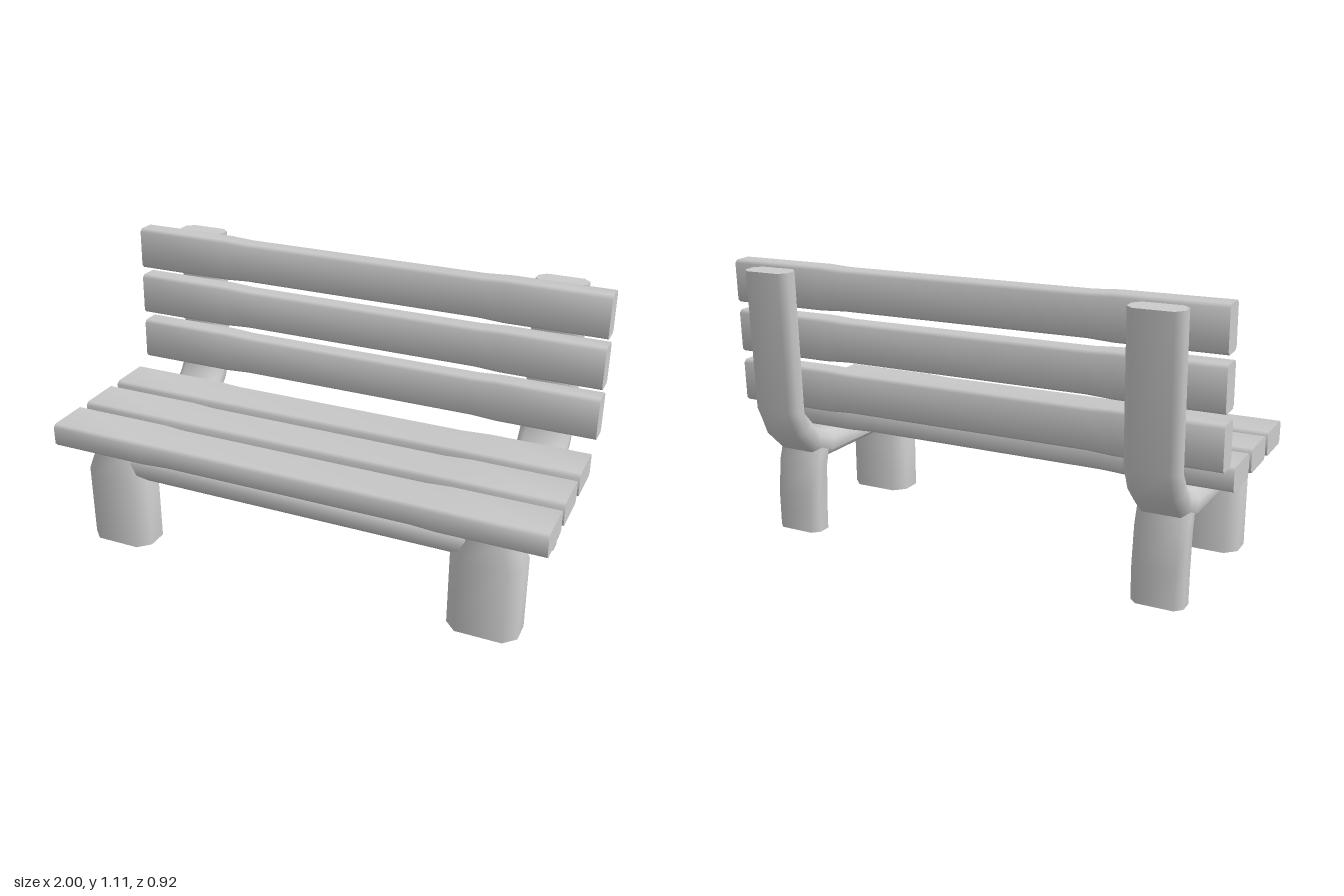
import * as THREE from 'three';
import { toCreasedNormals } from 'three/addons/utils/BufferGeometryUtils.js';

const material = new THREE.MeshStandardMaterial({ color: 0xcccccc });
const vec = (x, y, z) => new THREE.Vector3(x, y, z);

// Bevelled rectangle around centre c with half-axes u and v
function section(c, u, v, bevel) {
  const a = 1 - bevel / u.length(), b = 1 - bevel / v.length();
  return [[1, -b], [1, b], [a, 1], [-a, 1], [-1, b], [-1, -b], [-a, -1], [a, -1]]
    .map(([p, q]) => c.clone().addScaledVector(u, p).addScaledVector(v, q));
}

// Skin a row of sections and cap both ends
function loft(name, rings) {
  const n = rings[0].length, index = [];
  for (let k = 0; k < rings.length - 1; k++) {
    for (let i = 0; i < n; i++) {
      const a = k * n + i, b = k * n + (i + 1) % n;
      index.push(a, b, b + n, a, b + n, a + n);
    }
  }
  const last = (rings.length - 1) * n;
  for (let i = 1; i < n - 1; i++) {
    index.push(0, i + 1, i, last, last + i, last + i + 1);
  }
  const geometry = new THREE.BufferGeometry().setFromPoints(rings.flat());
  geometry.setIndex(index);
  const mesh = new THREE.Mesh(toCreasedNormals(geometry, 0.9), material);
  mesh.name = name;
  return mesh;
}

// Limb in the side plane: each row is [yA, zA, yB, zB, halfWidth], A and B on opposite faces
function limb(name, x, bevel, rows) {
  return loft(name, rows.map(([ya, za, yb, zb, w]) => section(
    vec(x, (ya + yb) / 2, (za + zb) / 2), vec(w, 0, 0),
    vec(0, (yb - ya) / 2, (zb - za) / 2), bevel)));
}

// Plank along x, slightly slimmer in the middle
function slat(name, y, z, height, depth, tilt) {
  const stations = [[-1, 1], [-0.6, 1], [-0.5, 0.94], [0.5, 0.94], [0.6, 1], [1, 1]];
  const mesh = loft(name, stations.map(([x, s]) => section(
    vec(x, 0, 0), vec(0, height / 2 * s, 0), vec(0, 0, depth / 2 * s), 0.012)));
  mesh.position.set(0, y, z);
  mesh.rotation.x = tilt;
  return mesh;
}

export function createModel() {
  const bench = new THREE.Group();
  bench.name = 'bench';

  for (const [side, label] of [[1, 'left'], [-1, 'right']]) {
    const frame = new THREE.Group();
    frame.name = label + 'Frame';
    // Seat bearer bending up into the back post
    frame.add(limb('bearerAndPost', side * 0.78, 0.028, [
      [0.4, 0.38, 0.3, 0.29, 0.1],
      [0.4, -0.17, 0.3, -0.2, 0.1],
      [0.435, -0.26, 0.34, -0.295, 0.1],
      [0.478, -0.3, 0.43, -0.39, 0.1],
      [0.525, -0.342, 0.54, -0.437, 0.1],
      [1.097, -0.359, 1.093, -0.457, 0.1],
    ]));
    // Rear leg curving out of the bend
    frame.add(limb('rearLeg', side * 0.78, 0.028, [
      [0.385, -0.285, 0.335, -0.19, 0.098],
      [0.34, -0.295, 0.3, -0.2, 0.1],
      [0.29, -0.312, 0.27, -0.208, 0.1],
      [0.15, -0.327, 0.11, -0.219, 0.1],
      [0, -0.327, 0, -0.219, 0.1],
    ]));
    // Stout front leg, narrowing at the top
    frame.add(limb('frontLeg', side * 0.77, 0.045, [
      [0, 0.424, 0, 0.25, 0.135],
      [0.3, 0.424, 0.3, 0.25, 0.135],
      [0.399, 0.4, 0.399, 0.27, 0.106],
    ]));
    bench.add(frame);
  }

  // Cross rail between the front legs
  bench.add(loft('frontRail', [-0.72, 0.72].map((x) => section(
    vec(x, 0.349, 0.335), vec(0, 0.049, 0), vec(0, 0, 0.064), 0.025))));

  // Seat planks, front to rear
  [0.365, 0.141, -0.085].forEach((z, i) =>
    bench.add(slat('seatSlat' + (i + 1), 0.464, z, 0.094, 0.19, 0)));

  // Backrest planks, leaning slightly back
  [[0.619, -0.281], [0.825, -0.289], [1.027, -0.297]].forEach(([y, z], i) =>
    bench.add(slat('backSlat' + (i + 1), y, z, 0.17, 0.092, -0.03)));

  return bench;
}
